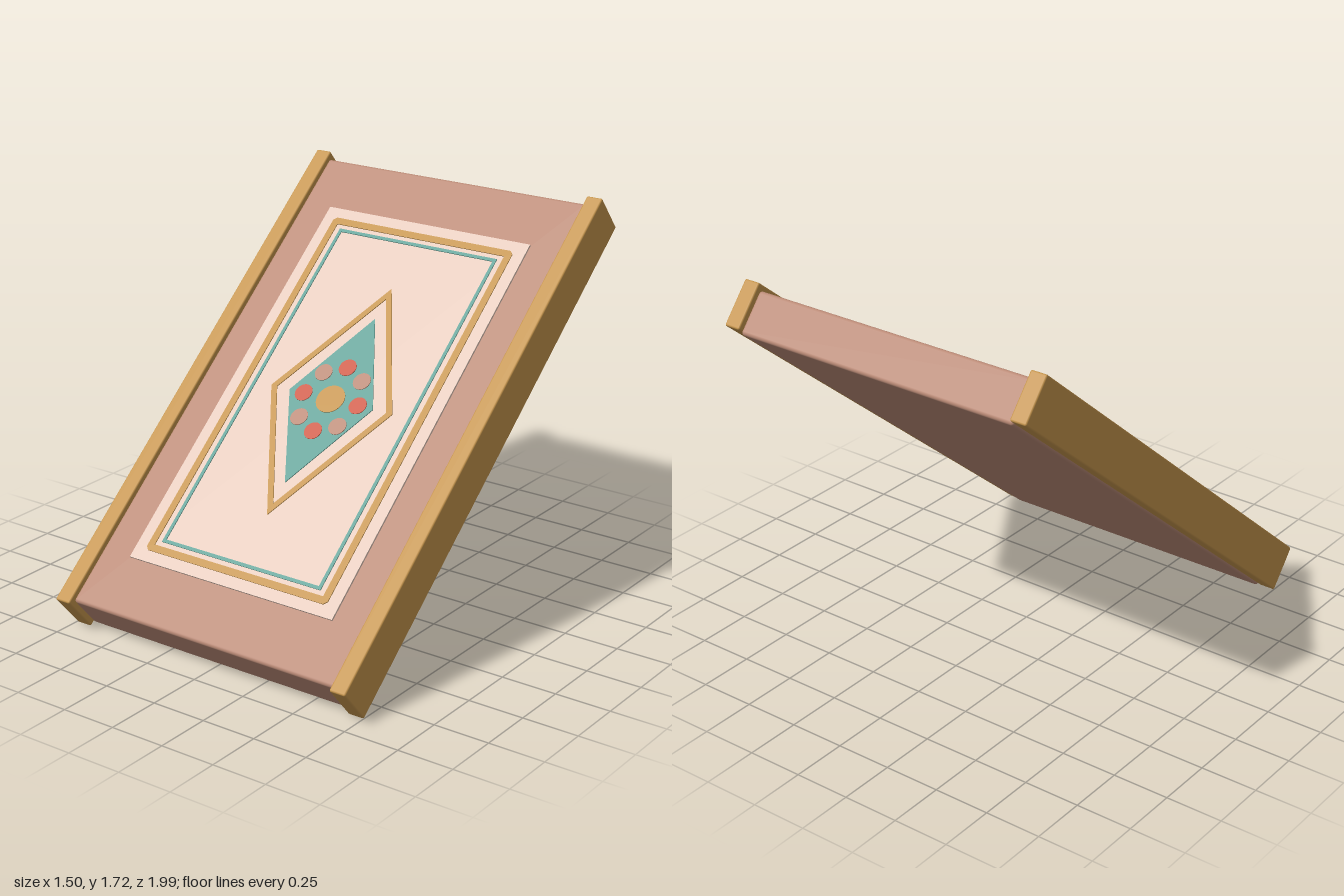
import * as THREE from 'three';
import { RoundedBoxGeometry } from 'three/addons/geometries/RoundedBoxGeometry.js';

function mat(name, color) {
  const m = new THREE.MeshStandardMaterial({ color });
  m.name = name;
  return m;
}

// Closed outline through a few points; Shape or Path (for holes)
const outline = (Type, pts) => new Type(pts.map(([x, y]) => new THREE.Vector2(x, y)));
const rectangle = (x, y) => [[-x, -y], [x, -y], [x, y], [-x, y]];
const chamfered = (x, y, c) => [
  [-x + c, -y], [x - c, -y], [x, -y + c], [x, y - c], [x - c, y], [-x + c, y], [-x, y - c], [-x, -y + c],
];
const diamond = (x, y) => [[0, -y], [x, 0], [0, y], [-x, 0]];

function ring(outer, inner) {
  const shape = outline(THREE.Shape, outer);
  shape.holes.push(outline(THREE.Path, inner));
  return shape;
}

export function createModel() {
  const pink = mat('dusty pink', 0xba8a76);
  const cream = mat('cream', 0xe4cabc);
  const gold = mat('gold', 0xc4944c);
  const teal = mat('teal', 0x62a298);
  const red = mat('coral red', 0xcc5842);

  const model = new THREE.Group();
  model.name = 'slantedPanel';

  // Everything lies flat here: y is the panel's normal, -z points up the slope
  const slab = new THREE.Group();
  slab.name = 'slab';
  slab.rotation.x = THREE.MathUtils.degToRad(40);
  slab.position.y = 0.863;
  model.add(slab);

  const add = (name, geometry, material, x = 0, y = 0, z = 0) => {
    const mesh = new THREE.Mesh(geometry, material);
    mesh.name = name;
    mesh.position.set(x, y, z);
    slab.add(mesh);
    return mesh;
  };

  // Thin painted plate lying on the panel
  const plate = (name, shape, material, base, x = 0, up = 0, depth = 0.004) => {
    const g = new THREE.ExtrudeGeometry(shape, { depth, bevelEnabled: false, curveSegments: 24 });
    g.rotateX(-Math.PI / 2);
    return add(name, g, material, x, base, -up);
  };

  // Main board and the two side rails
  add('board', new RoundedBoxGeometry(1.36, 0.193, 2.39, 3, 0.015), pink, 0, -0.0165, 0);
  for (const side of [-1, 1]) {
    add(side > 0 ? 'leftRail' : 'rightRail',
      new RoundedBoxGeometry(0.076, 0.206, 2.44, 3, 0.008), gold, side * 0.712, 0, 0);
  }

  // Raised inlay
  const top = 0.089;
  add('inlay', new THREE.BoxGeometry(1.05, 0.02, 1.872), cream, 0, top - 0.01, 0);

  // Border lines
  plate('goldBorder', ring(chamfered(0.47, 0.885, 0.015), rectangle(0.438, 0.853)), gold, top);
  plate('tealBorder', ring(rectangle(0.412, 0.832), rectangle(0.397, 0.817)), teal, top);

  // Central medallion
  plate('goldDiamond', ring(diamond(0.315, 0.583), diamond(0.285, 0.528)), gold, top);
  plate('tealDiamond', outline(THREE.Shape, diamond(0.217, 0.422)), teal, top);

  // Flower: a centre and eight petals alternating red and pink
  const disc = (r) => new THREE.Shape().absarc(0, 0, r, 0, Math.PI * 2, false);
  plate('flowerCentre', disc(0.067), gold, top + 0.004, 0, 0, 0.003);
  for (let i = 0; i < 8; i++) {
    const a = (i * Math.PI) / 4;
    plate('petal' + (i + 1), disc(0.041), i % 2 ? pink : red, top + 0.004,
      0.141 * Math.cos(a), 0.163 * Math.sin(a), 0.003);
  }

  return model;
}
